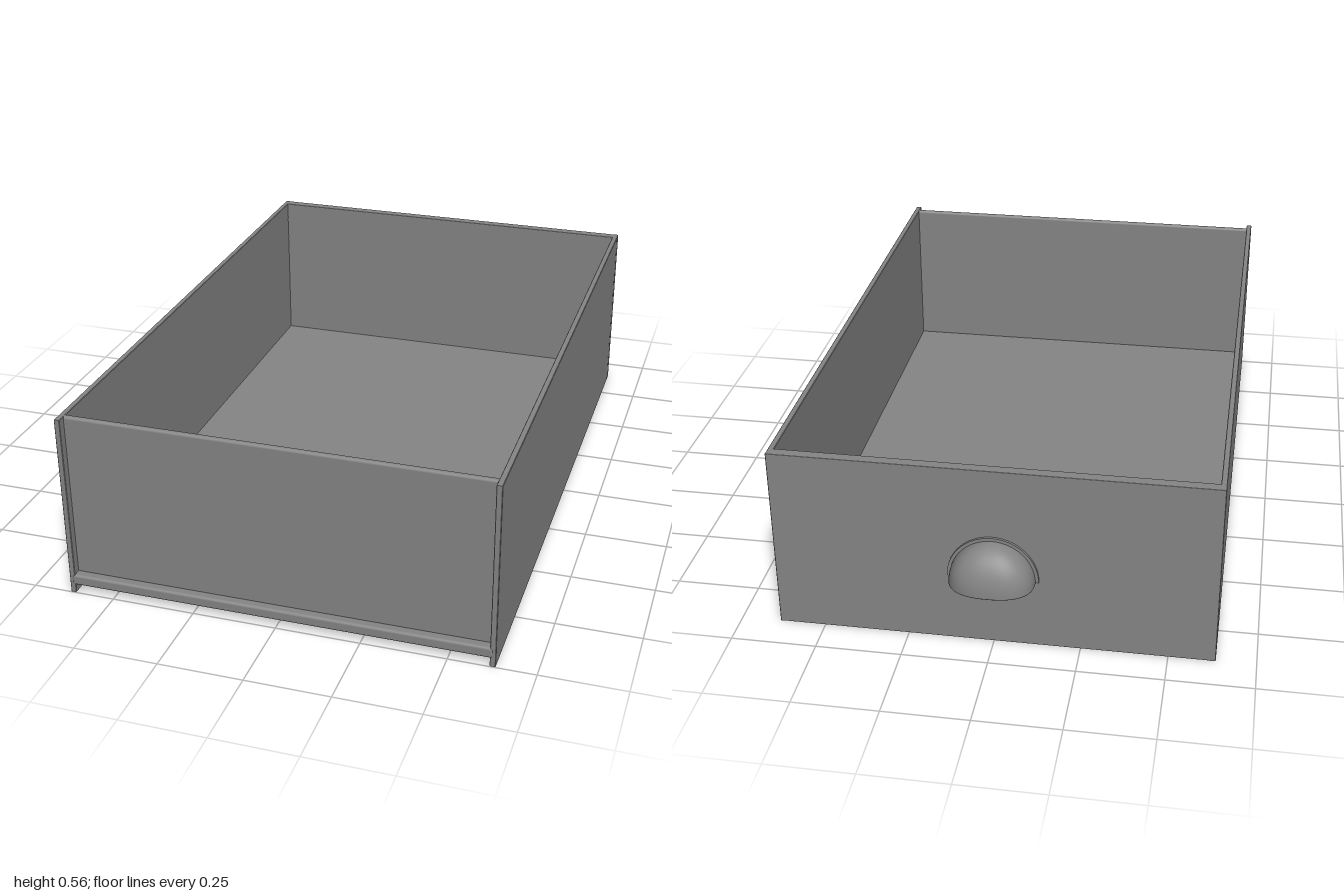
import * as THREE from 'three';
import { RoundedBoxGeometry } from 'three/addons/geometries/RoundedBoxGeometry.js';

const W = 0.635, H = 0.565, T = 0.017;          // half width, height, side thickness
const Z_FACE = -0.895, Z_TAIL = -0.88, Z_SOCKET = -0.864, Z_END = 0.998;
const JOINTS = 7, PITCH = H / JOINTS;

const material = new THREE.MeshStandardMaterial({ color: 0x858585 });
const doubleSided = new THREE.MeshStandardMaterial({ color: 0x858585, side: THREE.DoubleSide });

function addMesh(parent, name, geometry, mat = material) {
  const mesh = new THREE.Mesh(geometry, mat);
  mesh.name = name;
  parent.add(mesh);
  return mesh;
}

// Rounded board given by its min and max corners
function addBoard(parent, name, min, max, radius) {
  const s = max.map((v, i) => v - min[i]);
  const mesh = addMesh(parent, name, new RoundedBoxGeometry(...s, 4, radius));
  mesh.position.set(...max.map((v, i) => (v + min[i]) / 2));
}

// Extrudes a (z, y) outline across the thickness of a side wall
function sideExtrusion(points) {
  const bevel = 0.0015;
  const geometry = new THREE.ExtrudeGeometry(new THREE.Shape(points.map(p => new THREE.Vector2(...p))), {
    depth: T - 2 * bevel, bevelEnabled: true, bevelSize: bevel,
    bevelOffset: -bevel, bevelThickness: bevel, bevelSegments: 1,
  });
  geometry.translate(0, 0, bevel);
  return geometry.rotateY(-Math.PI / 2);
}

// Zigzag line of the dovetail joint, from top to bottom
function dovetailLine() {
  const line = [[Z_SOCKET, H]];
  for (let i = JOINTS - 1; i >= 0; i--) {
    const y = (i + 0.5) * PITCH, root = 0.018, tip = 0.022;
    line.push([Z_SOCKET, y + root], [Z_TAIL, y + tip], [Z_TAIL, y - tip], [Z_SOCKET, y - root]);
  }
  line.push([Z_SOCKET, 0]);
  return line;
}

// Side wall with its tails, and the pins of the face board that interlock with them
function createSide(name, x) {
  const side = new THREE.Group();
  side.name = name;
  addMesh(side, 'sideBoard', sideExtrusion([[Z_END, 0], [Z_END, H], ...dovetailLine()]));
  addMesh(side, 'jointPins', sideExtrusion([[Z_FACE, 0], [Z_FACE, H], ...dovetailLine()]));
  side.position.x = x;
  return side;
}

// Squarish plan curve of the cup, as [x, z] for an angle from 0 to PI
function cupPlan(u, rx, rz) {
  const c = Math.cos(u);
  return [rx * Math.sign(c) * Math.abs(c) ** 0.85, -rz * Math.max(0, Math.sin(u)) ** 0.75];
}

// Quarter dome, open at the bottom and at the wall
function cupShell(rx, ry, rz) {
  const nu = 40, nv = 14, position = [], index = [];
  for (let j = 0; j <= nv; j++) {
    const v = (j / nv) * Math.PI / 2;
    for (let i = 0; i <= nu; i++) {
      const [x, z] = cupPlan((i / nu) * Math.PI, rx, rz);
      position.push(x * Math.cos(v), ry * Math.sin(v), z * Math.cos(v) ** 0.95);
      if (i < nu && j < nv) {
        const a = j * (nu + 1) + i, b = a + nu + 1;
        index.push(a, b, a + 1, a + 1, b, b + 1);
      }
    }
  }
  const geometry = new THREE.BufferGeometry();
  geometry.setAttribute('position', new THREE.Float32BufferAttribute(position, 3));
  geometry.setIndex(index);
  geometry.computeVertexNormals();
  return geometry;
}

function createPull() {
  const pull = new THREE.Group();
  pull.name = 'cupPull';
  // Outer and inner shells
  addMesh(pull, 'cupOuter', cupShell(0.122, 0.127, 0.096), doubleSided);
  addMesh(pull, 'cupInner', cupShell(0.116, 0.121, 0.09), doubleSided);
  // Rolled rim along the open lower edge
  const rim = [];
  for (let i = 0; i <= 32; i++) {
    const [x, z] = cupPlan((i / 32) * Math.PI, 0.119, 0.093);
    rim.push(new THREE.Vector3(x, 0, z));
  }
  addMesh(pull, 'cupRim', new THREE.TubeGeometry(new THREE.CatmullRomCurve3(rim), 64, 0.0032, 8));
  // Thin arched flange against the board
  const arch = new THREE.Shape();
  arch.absellipse(0, 0, 0.131, 0.136, 0, Math.PI, false, 0);
  arch.lineTo(-0.112, 0);
  arch.absellipse(0, 0, 0.112, 0.117, Math.PI, 0, true, 0);
  arch.closePath();
  const flange = addMesh(pull, 'flange', new THREE.ExtrudeGeometry(arch, {
    depth: 0.008, bevelEnabled: false, curveSegments: 32 }));
  flange.position.z = 0.001;
  pull.position.set(0, 0.218, Z_FACE - 0.008);
  return pull;
}

export function createModel() {
  const drawer = new THREE.Group();
  drawer.name = 'drawer';

  // Side walls with their dovetail joints
  drawer.add(createSide('leftSide', W), createSide('rightSide', -W + T));

  // Face board, running just under the joint surface on both sides
  addBoard(drawer, 'faceBoard', [-W + 0.002, 0, Z_FACE], [W - 0.002, H, Z_SOCKET], 0.0015);

  // Floor panel, its rounded end standing proud of the side walls
  addBoard(drawer, 'floor', [-0.627, 0.026, -0.87], [0.627, 0.06, 1], 0.008);

  // End board with a rounded top, set in from the ends of the sides
  addBoard(drawer, 'endBoard', [-0.627, 0.055, 0.955], [0.627, H, 0.974], 0.008);

  drawer.add(createPull());
  return drawer;
}
